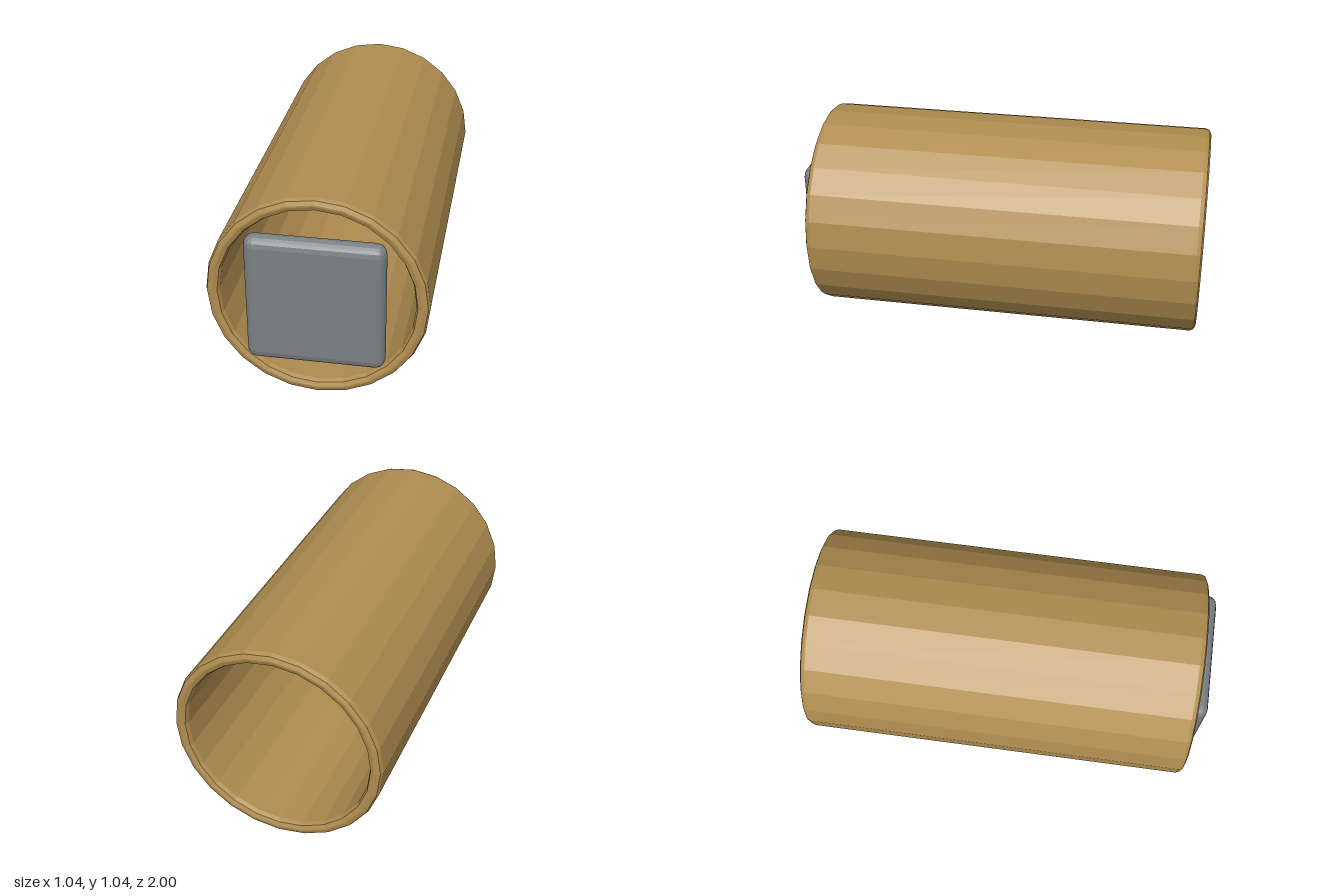
import * as THREE from 'three';
import { RoundedBoxGeometry } from 'three/addons/geometries/RoundedBoxGeometry.js';

const CENTRE_Y = 0.519;

// Closed wall section of the tube (radius, length) with rounded rims
function wallProfile(inner, outer, back, front, r, steps) {
  const corners = [
    [outer - r, back + r, -Math.PI / 2],
    [outer - r, front - r, 0],
    [inner + r, front - r, Math.PI / 2],
    [inner + r, back + r, Math.PI],
  ];
  const points = [];
  for (const [cx, cy, start] of corners) {
    for (let i = 0; i <= steps; i++) {
      const a = start + (i / steps) * Math.PI / 2;
      points.push(new THREE.Vector2(cx + r * Math.cos(a), cy + r * Math.sin(a)));
    }
  }
  points.push(points[0].clone());
  return points;
}

export function createModel() {
  const model = new THREE.Group();
  model.name = 'tubeWithPlate';

  // Open, 24-sided tube lying along z
  const tubeGeometry = new THREE.LatheGeometry(wallProfile(0.455, 0.518, -1, 0.945, 0.028, 2), 24);
  tubeGeometry.rotateX(Math.PI / 2);
  const tube = new THREE.Mesh(
    tubeGeometry,
    new THREE.MeshStandardMaterial({ color: 0xb08d50, flatShading: true })
  );
  tube.name = 'tube';
  tube.position.y = CENTRE_Y;
  model.add(tube);

  // Rounded square plate standing in the front opening
  const plate = new THREE.Mesh(
    new RoundedBoxGeometry(0.646, 0.646, 0.1, 2, 0.048),
    new THREE.MeshStandardMaterial({ color: 0x7b8083, flatShading: true })
  );
  plate.name = 'frontPlate';
  plate.position.set(0, CENTRE_Y + 0.002, 0.95);
  model.add(plate);

  return model;
}
